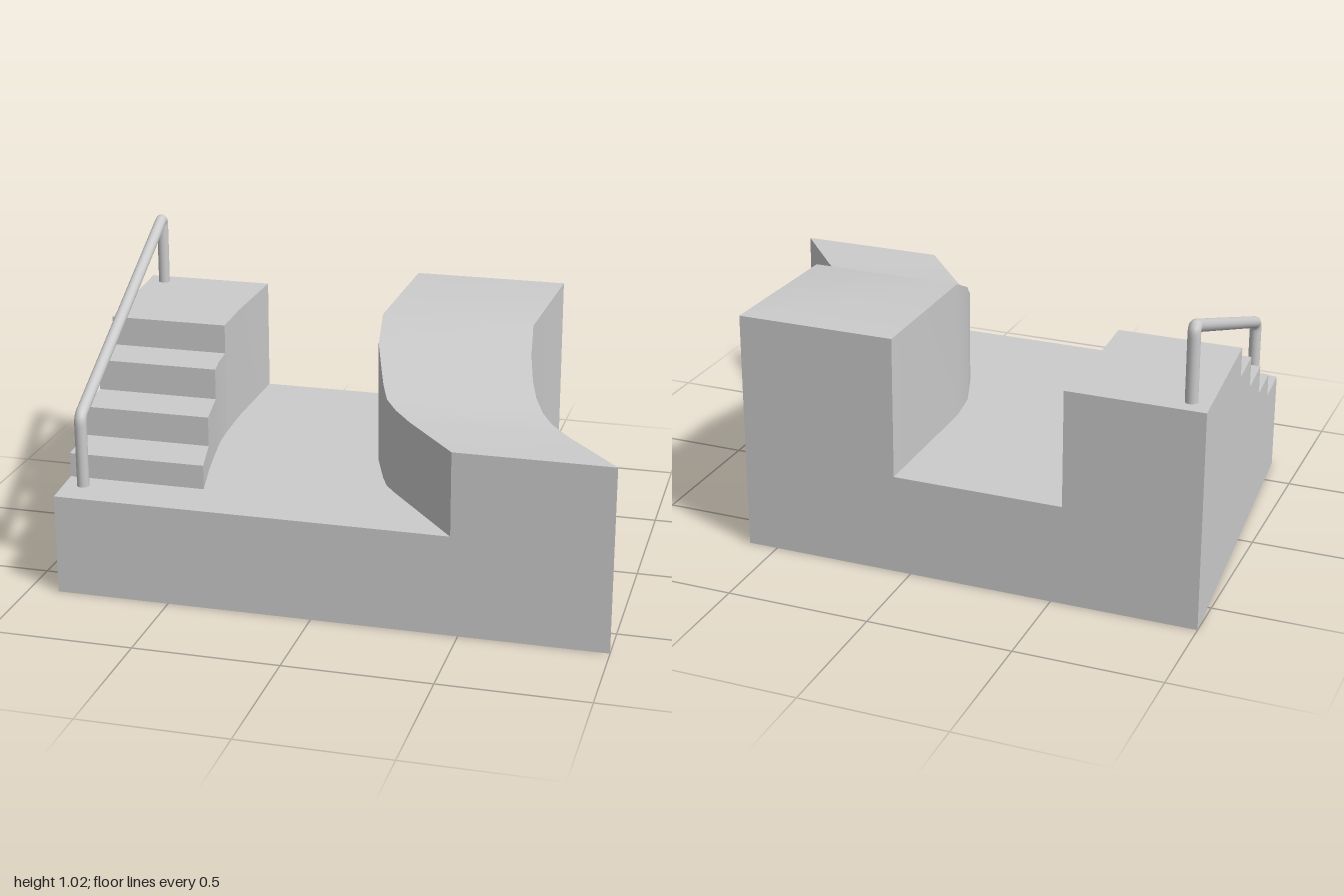
import * as THREE from 'three';
import { toCreasedNormals } from 'three/addons/utils/BufferGeometryUtils.js';

const DECK = 0.35;
const material = new THREE.MeshStandardMaterial({ color: 0xcccccc });

// Straight outer edge on the stair side
const leftEdge = z => -1 + (z + 0.655) * 0.08;

// Joins counter-clockwise xy sections, ordered back to front, into a closed solid
function loft(name, sections) {
  const pos = [];
  const n = sections[0].points.length;
  const tri = (...corners) => corners.forEach(([s, i]) =>
    pos.push(...sections[s].points[i % n], sections[s].z));
  for (let s = 0; s < sections.length - 1; s++) {
    for (let i = 0; i < n; i++) {
      tri([s, i], [s, i + 1], [s + 1, i + 1]);
      tri([s, i], [s + 1, i + 1], [s + 1, i]);
    }
  }
  // End caps, fanned from the inner corner
  const hub = n - 2, last = sections.length - 1;
  for (let k = 1; k < n - 1; k++) {
    tri([last, hub], [last, hub + k], [last, hub + k + 1]);
    tri([0, hub], [0, hub + k + 1], [0, hub + k]);
  }
  const geometry = new THREE.BufferGeometry();
  geometry.setAttribute('position', new THREE.Float32BufferAttribute(pos, 3));
  const mesh = new THREE.Mesh(toCreasedNormals(geometry, Math.PI / 4), material);
  mesh.name = name;
  return mesh;
}

// Base slab and the curved slide block share one L-shaped section
function createBaseAndSlide() {
  // z, inner edge of slide, outer edge, slide height
  const stations = [
    [-0.655, 0.055, 0.605, 0.84],
    [-0.11, 0.055, 0.59, 0.84],
    [0.03, 0.075, 0.61, 0.778],
    [0.13, 0.11, 0.635, 0.722],
    [0.2, 0.135, 0.66, 0.686],
    [0.27, 0.165, 0.695, 0.661],
    [0.33, 0.21, 0.735, 0.647],
    [0.41, 0.275, 0.8, 0.64],
    [0.65, 0.47, 1, 0.64],
  ];
  return loft('baseAndSlide', stations.map(([z, inner, outer, top]) => ({
    z,
    points: [[leftEdge(z), 0], [outer, 0], [outer, top], [inner, top],
      [inner, DECK], [leftEdge(z), DECK]],
  })));
}

// Landing and three lower steps, with a bending inner side
function createStairs() {
  const stairs = new THREE.Group();
  stairs.name = 'stairs';
  const steps = [
    { top: 0.755, side: [[-0.655, -0.535], [-0.3, -0.537], [-0.1, -0.528]] },
    { top: 0.65, side: [[-0.1, -0.528], [0, -0.519], [0.085, -0.505]] },
    { top: 0.54, side: [[0.085, -0.505], [0.275, -0.47]] },
    { top: 0.435, side: [[0.275, -0.47], [0.46, -0.428]] },
  ];
  steps.forEach(({ top, side }, i) => {
    stairs.add(loft(i ? `step${i}` : 'landing', side.map(([z, x]) => ({
      z,
      points: [[leftEdge(z), DECK], [x, DECK], [x, top], [leftEdge(z), top]],
    }))));
  });
  return stairs;
}

// Round handrail with a post at each end and softened bends
function createHandrail() {
  const corners = [[-0.837, 0.34, 0.53], [-0.837, 0.6, 0.53],
    [-0.93, 1.008, -0.587], [-0.93, 0.74, -0.587]].map(p => new THREE.Vector3(...p));
  const path = new THREE.CurvePath();
  let from = corners[0];
  for (let i = 1; i < 3; i++) {
    const c = corners[i];
    const toward = p => c.clone().add(p.clone().sub(c).setLength(0.03));
    const start = toward(corners[i - 1]), end = toward(corners[i + 1]);
    path.add(new THREE.LineCurve3(from, start));
    path.add(new THREE.QuadraticBezierCurve3(start, c, end));
    from = end;
  }
  path.add(new THREE.LineCurve3(from, corners[3]));
  const rail = new THREE.Mesh(new THREE.TubeGeometry(path, 160, 0.021, 16), material);
  rail.name = 'handrail';
  return rail;
}

export function createModel() {
  const model = new THREE.Group();
  model.name = 'slideAndStairs';
  model.add(createBaseAndSlide(), createStairs(), createHandrail());
  return model;
}
